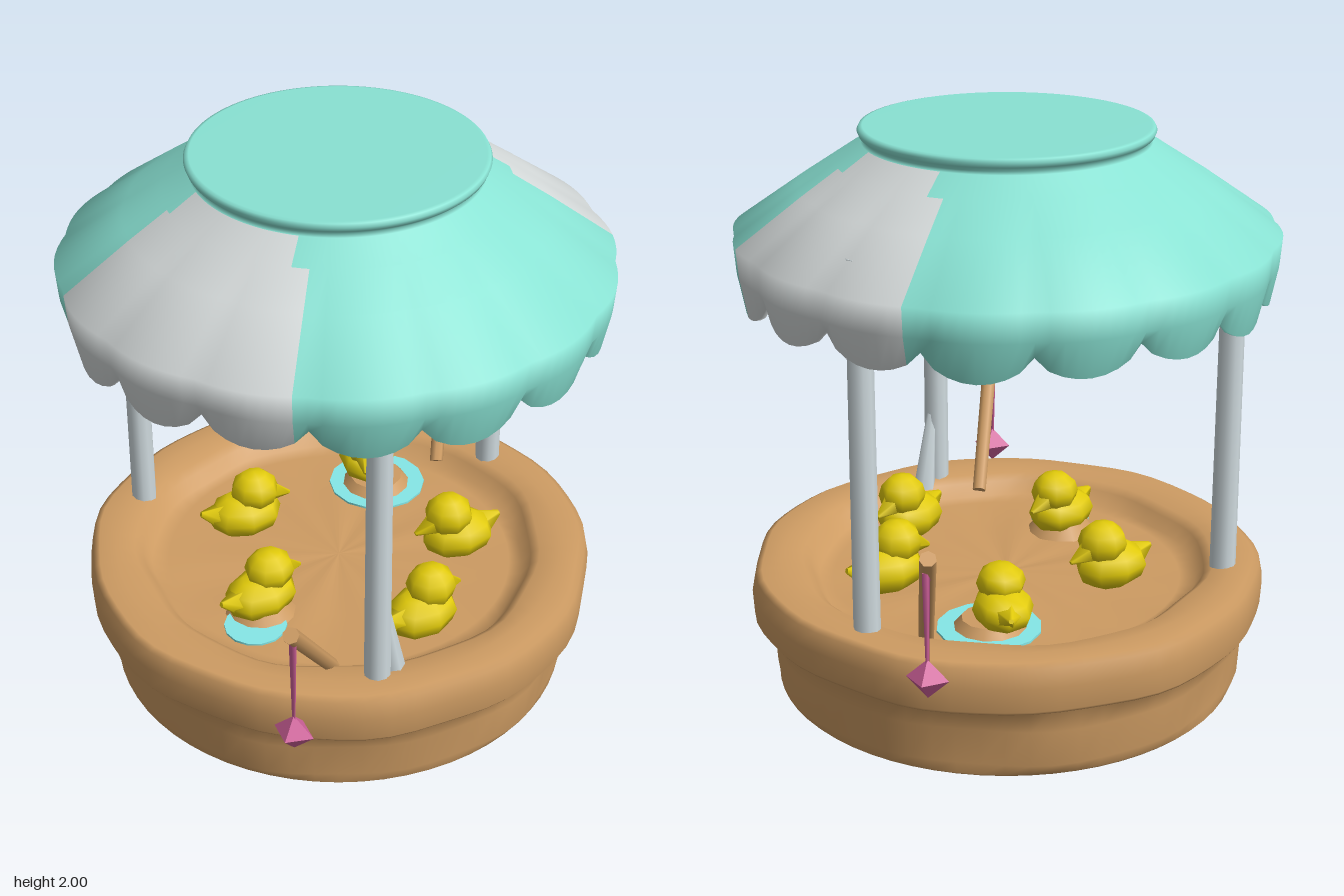
import * as THREE from 'three';

const mat = (name, color, side = THREE.FrontSide) => {
  const m = new THREE.MeshStandardMaterial({ color, side });
  m.name = name;
  return m;
};

// Closed surface from a profile of [radius, y] points that may vary with the angle
// (0 = front, growing towards +x). Profile runs from the upper centre to the lower centre.
function ringSurface(profile, segments, materialIndex = () => 0) {
  const pos = [], buckets = [[], []];
  const rows = profile(0).length;
  for (let i = 0; i < segments; i++) {
    const t = (i / segments) * Math.PI * 2;
    for (const [r, y] of profile(t)) pos.push(r * Math.sin(t), y, r * Math.cos(t));
  }
  for (let i = 0; i < segments; i++) {
    for (let j = 0; j < rows - 1; j++) {
      const a = i * rows + j, c = ((i + 1) % segments) * rows + j;
      buckets[materialIndex((i + 0.5) * 360 / segments, j)].push(a, a + 1, c, c, a + 1, c + 1);
    }
  }
  const g = new THREE.BufferGeometry();
  g.setAttribute('position', new THREE.Float32BufferAttribute(pos, 3));
  g.setIndex([...buckets[0], ...buckets[1]]);
  g.addGroup(0, buckets[0].length, 0);
  g.addGroup(buckets[0].length, buckets[1].length, 1);
  g.computeVertexNormals();
  return g;
}

export function createModel() {
  const teal = mat('teal canvas', 0x89e2d3);
  const white = mat('white canvas', 0xd6dbdb);
  const wood = mat('wood', 0xce9c63);
  const postGrey = mat('post grey', 0xd0dbdf);
  const yellow = mat('duck yellow', 0xe2cb0a);
  const pink = mat('pink', 0xd2629c, THREE.DoubleSide);
  const water = mat('water', 0x86e8e8);

  const model = new THREE.Group();
  const add = (name, geometry, material, parent = model) => {
    const m = new THREE.Mesh(geometry, material);
    m.name = name;
    parent.add(m);
    return m;
  };
  // Tapered round bar between two points
  const bar = (name, from, to, r0, r1, material, sides, parent) => {
    const a = new THREE.Vector3(...from), b = new THREE.Vector3(...to);
    const m = add(name, new THREE.CylinderGeometry(r1, r0, a.distanceTo(b), sides), material, parent);
    m.position.copy(a).add(b).multiplyScalar(0.5);
    m.quaternion.setFromUnitVectors(new THREE.Vector3(0, 1, 0), b.sub(a).normalize());
    return m;
  };

  // Tub: shallow basin, thick rim and a narrower, slightly hewn wall
  const tub = add('tub', ringSurface((t) => {
    const w = 0.008 * Math.sin(5 * t + 1) + 0.006 * Math.sin(11 * t);
    const e = 0.006 * Math.sin(7 * t) + 0.004 * Math.sin(13 * t + 2);
    return [
      [0, 0.365], [0.35, 0.365 + w * 0.5], [0.62, 0.365], [0.67 + w, 0.375],
      [0.70 + w, 0.42], [0.73 + w, 0.442], [0.80, 0.45], [0.87 + e, 0.447],
      [0.892 + e, 0.435], [0.905 + e, 0.37], [0.90 + e, 0.285], [0.89 + e, 0.272],
      [0.848, 0.262], [0.838 + w, 0.18],
      [0.83 + w, 0.05], [0.82, 0.012], [0.81, 0.002], [0.80, 0], [0, 0],
    ];
  }, 64), wood);
  tub.position.x = -0.012;

  // Canopy: flat cap, sloping sides and scalloped skirt, with two white panels
  // whose upper corners are cut back
  const scallops = 16;
  const isWhite = (deg, row) => {
    const cut = row === 6 ? 5 : 0;
    return row >= 6 && row <= 11
      && [[57, 110], [249, 311]].some(([a, b]) => deg > a + cut && deg < b - cut);
  };
  const canopy = add('canopy', ringSurface((t) => {
    const s = Math.abs(Math.sin(t * scallops / 2));
    const f = 0.014 * (s - 0.5) + 0.008 * Math.sin(3 * t + 1);
    const hem = 1.49 - 0.08 * Math.pow(s, 0.6) + 0.008 * Math.sin(5 * t);
    return [
      [0, 2], [0.48, 2], [0.492, 1.997], [0.498, 1.985], [0.492, 1.97], [0.475, 1.955],
      [0.485, 1.945], [0.575, 1.885], [0.70 + f * 0.5, 1.80], [0.922 + f, 1.64],
      [0.914 + f, 1.54], [0.888 + f, hem], [0.872 + f, hem],
      [0.888 + f, 1.54], [0.89 + f, 1.63], [0.68 + f * 0.5, 1.78], [0.46, 1.93], [0, 1.94],
    ];
  }, 128, (deg, row) => (isWhite(deg, row) ? 1 : 0)), [teal, white]);
  canopy.position.x = -0.014;

  // Three posts, the front one braced at its foot
  for (const [x, z] of [[-0.39, 0.665], [0.755, -0.04], [-0.41, -0.66]]) {
    bar('post', [x, 0.37, z], [x, 1.72, z], 0.046, 0.042, postGrey, 10);
  }
  bar('postBrace', [-0.315, 0.4, 0.665], [-0.375, 0.78, 0.665], 0.045, 0.012, postGrey, 6);

  // Ducks: position, height of the seat and heading (0 faces +x, positive turns towards -z)
  const ball = (sx, sy, sz) => new THREE.SphereGeometry(1, 8, 6).scale(sx, sy, sz);
  const ducks = [
    [-0.42, 0.08, 0.365, 0.0], [-0.17, -0.34, 0.355, -0.3], [0.37, -0.3, 0.395, 4.0],
    [-0.04, 0.5, 0.35, 0.0], [0.34, 0.24, 0.35, 2.9],
  ];
  for (const [x, z, y, turn] of ducks) {
    const duck = new THREE.Group();
    duck.name = 'duck';
    duck.position.set(x, y, z);
    duck.rotation.y = turn;
    duck.scale.y = (0.607 - y) / 0.25;
    add('duckBody', ball(0.14, 0.085, 0.105), yellow, duck).position.set(-0.01, 0.08, 0);
    add('duckHead', ball(0.09, 0.078, 0.085), yellow, duck).position.set(0.03, 0.172, 0);
    bar('duckBeak', [0.08, 0.155, 0], [0.165, 0.125, 0], 0.048, 0.008, yellow, 5, duck);
    bar('duckTail', [-0.08, 0.085, 0], [-0.18, 0.115, 0], 0.065, 0.01, yellow, 5, duck);
    model.add(duck);
  }

  // Water showing around the mounds below two of the ducks
  const pools = [
    { pool: [0.38, -0.25, 0.18], mound: [0.375, -0.25, 0.14] },
    { pool: [-0.5, 0.14, 0.11], mound: [-0.43, 0.08, 0.13] },
  ];
  for (const { pool: [px, pz, pr], mound: [mx, mz, mr] } of pools) {
    add('waterPatch', new THREE.CylinderGeometry(pr, pr, 0.008, 14), water).position.set(px, 0.374, pz);
    add('mound', new THREE.CylinderGeometry(mr * 0.7, mr, 0.05, 12), wood).position.set(mx, 0.385, mz);
  }

  // Fishing rods with a tapering line and a faceted lure
  const rods = [
    { foot: [-0.45, 0.4, 0.5], tip: [-0.8, 0.865, 0.73], hang: [-0.778, 0.71], line: [0.004, 0.02] },
    { foot: [0.62, 0.4, -0.18], tip: [0.895, 0.865, -0.44], hang: [0.882, -0.42], line: [0.02, 0.008] },
  ];
  for (const { foot, tip, hang: [x, z], line: [lx, lz] } of rods) {
    bar('rod', foot, tip, 0.026, 0.028, wood, 7);
    bar('rodLine', [x, 0.47, z], [x, 0.81, z], 0.4, 1, pink, 4).scale.set(lx, 1, lz);
    const lure = add('lure', new THREE.OctahedronGeometry(1), pink);
    lure.scale.set(0.06, 0.068, 0.072);
    lure.rotation.y = 0.4;
    lure.position.set(x, 0.44, z);
  }

  return model;
}
